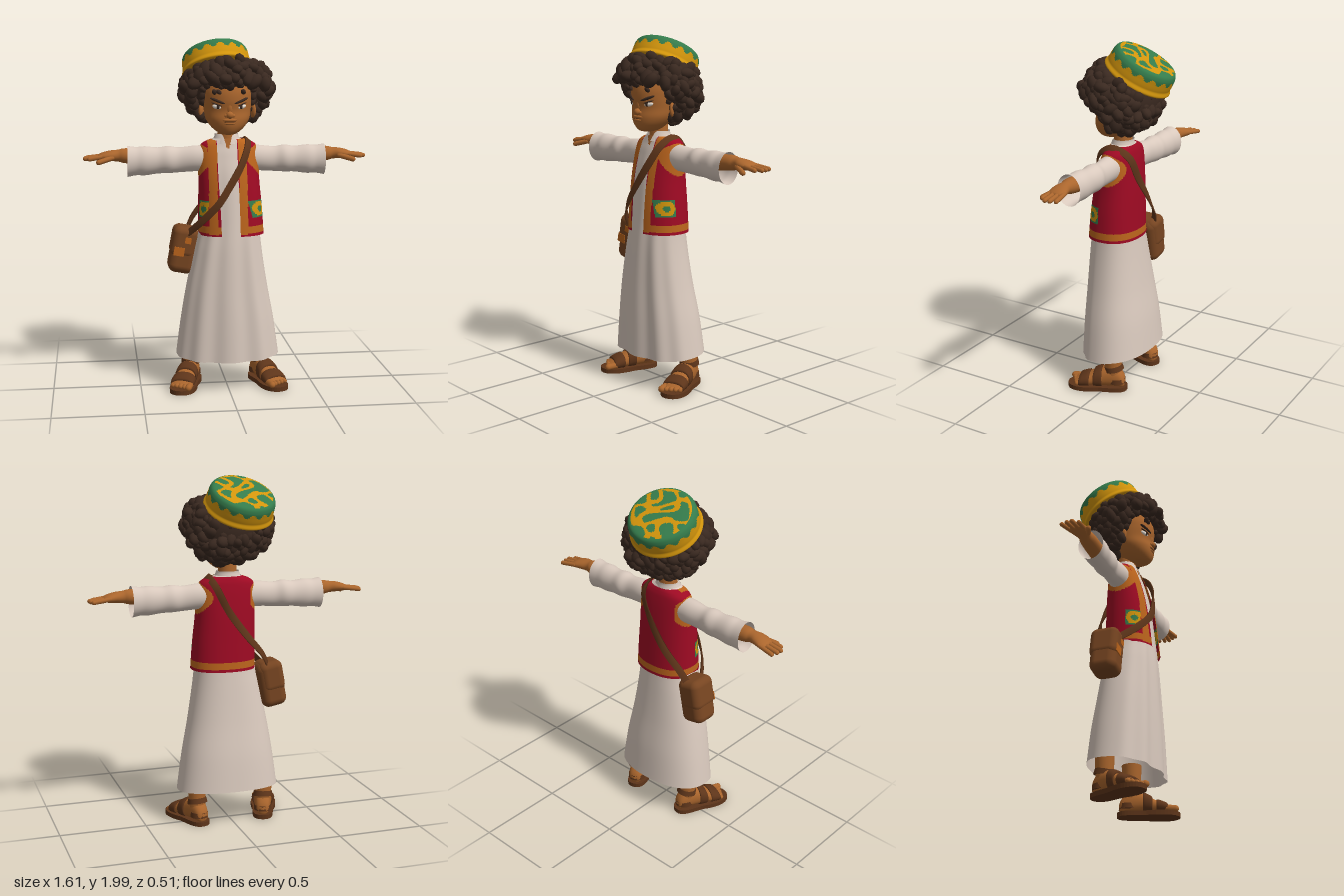
import * as THREE from 'three';
import { mergeGeometries } from 'three/addons/utils/BufferGeometryUtils.js';
import { RoundedBoxGeometry } from 'three/addons/geometries/RoundedBoxGeometry.js';

const mat = (name, color, side = THREE.FrontSide) => {
  const m = new THREE.MeshStandardMaterial({ color, side });
  m.name = name;
  return m;
};
const V = (x, y, z) => new THREE.Vector3(x, y, z);
const TAU = Math.PI * 2;

// Grid surface from f(u, v); pick(centre) gives the material index of each cell
function surf(nu, nv, f, { closed = true, pick } = {}) {
  const pts = [], cols = closed ? nu : nu + 1, cells = [[], [], [], []];
  for (let j = 0; j <= nv; j++) for (let i = 0; i < cols; i++) pts.push(f(i / nu, j / nv));
  for (let j = 0; j < nv; j++) for (let i = 0; i < nu; i++) {
    const k = (i + 1) % cols, a = j * cols + i, b = j * cols + k, c = b + cols, d = a + cols;
    const mid = pts[a].clone().add(pts[c]).multiplyScalar(0.5);
    cells[pick ? pick(mid) : 0].push(a, b, c, a, c, d);
  }
  const g = new THREE.BufferGeometry().setFromPoints(pts);
  g.setIndex(cells.flat());
  if (pick) {
    let start = 0;
    cells.forEach((c, i) => { if (c.length) g.addGroup(start, c.length, i); start += c.length; });
  }
  g.computeVertexNormals();
  return g;
}

// Smooth body through cross-sections [y, centreX, radiusX, zFront, zBack]
function loft(secs, p = 1) {
  const n = secs.length - 1, at = i => secs[Math.max(0, Math.min(n, i))];
  return (u, v) => {
    const s = Math.min(v * n, n - 1e-6), i = Math.floor(s), t = s - i;
    const [y, cx, rx, zf, zb] = at(i).map((b, k) => {
      const a = at(i - 1)[k], c = at(i + 1)[k], d = at(i + 2)[k];
      return 0.5 * (2 * b + (c - a) * t + (2 * a - 5 * b + 4 * c - d) * t * t + (3 * b - a - 3 * c + d) * t * t * t);
    });
    const th = u * TAU, pw = q => Math.sign(q) * Math.abs(q) ** p;
    return V(cx + Math.max(0, rx) * pw(Math.sin(th)), y, (zf + zb) / 2 + (zf - zb) / 2 * pw(Math.cos(th)));
  };
}

export function createModel() {
  const robe = mat('robe cloth', 0xd9c9bd, THREE.DoubleSide), skin = mat('skin', 0xab662d);
  const hairM = mat('hair', 0x3a2920), red = mat('vest red', 0x9e0a23, THREE.DoubleSide);
  const trim = mat('orange trim', 0xbb641c, THREE.DoubleSide), yellow = mat('yellow', 0xd3950c, THREE.DoubleSide);
  const green = mat('green', 0x357c4c, THREE.DoubleSide), leather = mat('leather', 0x774521);
  const dark = mat('dark leather', 0x5e351a), white = mat('eye white', 0xe6ddd2);
  const model = new THREE.Group();
  const add = (parent, name, geo, m, pos = [0, 0, 0], rot = [0, 0, 0], scl = [1, 1, 1]) => {
    const mesh = new THREE.Mesh(geo, m);
    mesh.name = name;
    mesh.position.set(...pos); mesh.rotation.set(...rot); mesh.scale.set(...scl);
    parent.add(mesh);
    return mesh;
  };
  const ball = new THREE.SphereGeometry(1, 20, 14);
  const limb = (parent, name, m, a, b, r) => {
    const d = b.clone().sub(a), mesh = add(parent, name, new THREE.CapsuleGeometry(r, d.length(), 5, 10), m);
    mesh.position.copy(a).addScaledVector(d, 0.5);
    mesh.quaternion.setFromUnitVectors(V(0, 1, 0), d.normalize());
  };

  // Robe with front folds and a neck slit
  const robeAt = loft([
    [0.195, 0.005, 0.297, 0.212, -0.185], [0.4, 0.003, 0.268, 0.207, -0.165], [0.6, 0, 0.232, 0.198, -0.135],
    [0.8, 0.005, 0.195, 0.186, -0.11], [0.95, 0.012, 0.172, 0.17, -0.095], [1.2, 0.01, 0.157, 0.14, -0.082],
    [1.34, 0.01, 0.152, 0.105, -0.07], [1.4, 0.008, 0.135, 0.085, -0.06], [1.44, 0, 0.075, 0.075, -0.045]], 0.88);
  add(model, 'robe', surf(120, 80, (u, v) => {
    const p = robeAt(u, v), c = Math.cos(u * TAU), low = 1 - v;
    const k = 1 - 0.05 * low * Math.max(0, c) * (1 - Math.cos(10 * u * TAU));
    p.x *= 1 + (k - 1) * 0.5;
    p.z = 0.02 + (p.z - 0.02) * k;
    p.y -= 0.018 * c * low ** 5;
    return p;
  }, { pick: p => (p.z > 0.03 && Math.abs(p.x) < (p.y - 1.38) * 0.5 ? 1 : 0) }), [robe, skin]);
  // Collar, open at the front
  const collarAt = loft([[1.41, 0, 0.083, 0.09, -0.055], [1.45, 0, 0.069, 0.075, -0.045], [1.465, 0, 0.066, 0.068, -0.045]]);
  add(model, 'collar', surf(40, 6, (u, v) => {
    const open = 0.02 + 0.07 * v;
    return collarAt(open + (1 - 2 * open) * u, v);
  }, { closed: false }), robe);

  // Vest: trim along hem, opening and armholes, medallions at the hips
  const vestSecs = [
    [0.9, 0.022, 0.187, 0.187, -0.108], [1.05, 0.018, 0.181, 0.174, -0.102], [1.2, 0.012, 0.173, 0.153, -0.095],
    [1.32, 0.01, 0.171, 0.122, -0.084], [1.39, 0.01, 0.163, 0.096, -0.073], [1.42, 0.01, 0.133, 0.083, -0.064],
    [1.437, 0.01, 0.085, 0.07, -0.055]];
  const vestAt = loft(vestSecs, 0.88);
  add(model, 'vest', surf(180, 110, (u, v) => {
    const rx = vestAt(0.25, v).x - 0.014, edge = x => Math.asin(Math.min(0.9, (x / rx) ** 1.136)) / TAU;
    const a = edge(0.04), b = edge(0.07);
    return vestAt(a + (1 - a - b) * u, v);
  }, {
    closed: false,
    pick: p => {
      const ax = Math.abs(p.x + 0.004), dy = Math.abs(p.y - 1.05), dz = p.z - 0.11, d = Math.hypot(dy, dz);
      if (p.z > 0 && ax > 0.11 && dy < 0.048 && Math.abs(dz) < 0.047) return d < 0.018 || d > 0.043 ? 3 : 2;
      if (p.y < 0.912) return 0;
      if (p.y < 0.955 && p.y > 0.918) return 1;
      if (p.z > 0 && ax < 0.108 && p.y < 1.44) return ax > 0.06 ? 1 : 0;
      return ax > 0.11 && Math.hypot(p.y - 1.315, p.z - 0.02) < 0.09 ? 1 : 0;
    }
  }), [red, trim, yellow, green]);

  // Arms and legs, built on the left and mirrored
  for (const s of [1, -1]) {
    const side = new THREE.Group();
    side.name = s > 0 ? 'leftLimbs' : 'rightLimbs';
    side.scale.x = s;
    model.add(side);
    const along = (secs, nu, nv) => surf(nu, nv, loft(secs)).rotateZ(-Math.PI / 2);
    add(side, 'sleeve', along([
      [0.1, -1.325, 0.075, 0.075, -0.05], [0.18, -1.325, 0.073, 0.075, -0.05], [0.27, -1.318, 0.071, 0.064, -0.043],
      [0.33, -1.32, 0.077, 0.077, -0.058], [0.39, -1.316, 0.074, 0.071, -0.052], [0.46, -1.315, 0.082, 0.08, -0.056],
      [0.51, -1.314, 0.08, 0.078, -0.054], [0.56, -1.313, 0.088, 0.086, -0.058]], 32, 42), robe);
    add(side, 'forearmAndPalm', along([
      [0.4, -1.33, 0.045, 0.05, -0.045], [0.56, -1.343, 0.043, 0.046, -0.045], [0.61, -1.345, 0.034, 0.036, -0.035],
      [0.65, -1.345, 0.03, 0.046, -0.046], [0.69, -1.342, 0.024, 0.045, -0.056], [0.72, -1.34, 0.012, 0.03, -0.045],
      [0.725, -1.34, 0, 0, 0]], 24, 30), skin);
    [[-0.046, -0.058, 0.782], [-0.02, -0.025, 0.792], [0.006, 0.004, 0.794], [0.03, 0.034, 0.77]].forEach(([z0, z1, x]) =>
      limb(side, 'finger', skin, V(0.69, 1.342, z0), V(x, 1.33, z1), 0.0125));
    limb(side, 'thumb', skin, V(0.645, 1.335, 0.035), V(0.72, 1.315, 0.068), 0.0145);

    // Leg, foot and sandal
    const foot = new THREE.Group();
    foot.name = 'foot';
    foot.position.set(0.217, 0, 0);
    foot.rotation.y = 0.36;
    side.add(foot);
    add(foot, 'leg', new THREE.CylinderGeometry(0.056, 0.047, 0.2, 20), skin, [0, 0.2, -0.04]);
    const footSecs = [[-0.112, 0, 0, -0.06, -0.06], [-0.1, 0, 0.033, -0.02, -0.1], [-0.06, 0, 0.046, -0.02, -0.145],
      [0, 0, 0.05, -0.02, -0.145], [0.06, 0, 0.054, -0.02, -0.115], [0.12, 0, 0.06, -0.02, -0.085], [0.18, 0, 0.055, -0.02, -0.056]];
    const foots = (secs, nv) => surf(24, nv, loft(secs, 0.9)).rotateX(Math.PI / 2);
    add(foot, 'footBody', foots(footSecs, 24), skin);
    for (let i = 0; i < 5; i++) {
      const x = (i - 2) * 0.024, r = i ? 0.0135 : 0.019;
      limb(foot, 'toe', skin, V(x, 0.044, 0.15), V(x * 1.05, 0.04, 0.2 - i * 0.008), r);
    }
    const sole = new THREE.Shape();
    sole.moveTo(0, -0.122);
    sole.bezierCurveTo(0.075, -0.122, 0.055, -0.02, 0.062, 0.04);
    sole.bezierCurveTo(0.092, 0.15, 0.066, 0.228, 0, 0.228);
    sole.bezierCurveTo(-0.066, 0.228, -0.092, 0.15, -0.062, 0.04);
    sole.bezierCurveTo(-0.055, -0.02, -0.075, -0.122, 0, -0.122);
    add(foot, 'sole', new THREE.ExtrudeGeometry(sole, { depth: 0.026, bevelEnabled: false, curveSegments: 12 })
      .rotateX(Math.PI / 2).translate(0, 0.027, 0), dark);
    const band = (z0, z1, r0, r1, t0, t1) => add(foot, 'sandalStrap', foots([
      [z0, 0, r0 - 0.01, -0.02, -t0 + 0.02], [z0, 0, r0, -0.015, -t0], [z1, 0, r1, -0.015, -t1], [z1, 0, r1 - 0.01, -0.02, -t1 + 0.02]], 9), dark);
    band(0.1, 0.155, 0.068, 0.067, 0.102, 0.08);
    band(0.025, 0.07, 0.061, 0.064, 0.143, 0.121);
    add(foot, 'ankleStrap', new THREE.CylinderGeometry(0.053, 0.058, 0.03, 20), dark, [0, 0.138, -0.042], [0.2, 0, 0]);
    add(foot, 'heelStrap', new THREE.CylinderGeometry(0.05, 0.052, 0.03, 20), dark, [0, 0.06, -0.06]);
  }

  // Head
  const head = new THREE.Group();
  head.name = 'head';
  model.add(head);
  add(head, 'neck', new THREE.CylinderGeometry(0.05, 0.055, 0.16, 20), skin, [0, 1.45, 0.015]);
  add(head, 'face', surf(40, 48, loft([
    [1.463, 0, 0, 0.1, 0.1], [1.472, 0, 0.045, 0.148, 0.03], [1.505, 0, 0.09, 0.17, -0.02], [1.55, 0, 0.121, 0.176, -0.06],
    [1.6, 0, 0.132, 0.17, -0.09], [1.66, 0, 0.139, 0.178, -0.12], [1.72, 0, 0.14, 0.172, -0.13], [1.8, 0, 0.12, 0.14, -0.13],
    [1.86, 0, 0.06, 0.07, -0.08], [1.87, 0, 0, 0, 0]])), skin);
  add(head, 'nose', ball, skin, [0, 1.578, 0.172], [0.3, 0, 0], [0.021, 0.02, 0.02]);
  add(head, 'noseBridge', ball, skin, [0, 1.61, 0.16], [0.1, 0, 0], [0.018, 0.04, 0.015]);
  add(head, 'upperLip', ball, skin, [0, 1.55, 0.164], [0, 0, 0], [0.042, 0.012, 0.018]);
  add(head, 'lowerLip', ball, skin, [0, 1.532, 0.163], [0, 0, 0], [0.035, 0.011, 0.017]);
  add(head, 'mouth', ball, dark, [0, 1.541, 0.168], [0, 0, 0], [0.036, 0.003, 0.01]);
  for (const s of [1, -1]) {
    add(head, 'nostril', ball, skin, [s * 0.019, 1.574, 0.166], [0, 0, 0], [0.012, 0.011, 0.013]);
    add(head, 'eye', ball, white, [s * 0.068, 1.623, 0.148], [0, s * 0.42, s * 0.2], [0.028, 0.013, 0.012]);
    add(head, 'iris', ball, hairM, [s * 0.064, 1.623, 0.157], [0, s * 0.4, 0], [0.011, 0.012, 0.006]);
    add(head, 'upperLid', ball, hairM, [s * 0.068, 1.636, 0.151], [0, s * 0.42, s * 0.28], [0.033, 0.004, 0.011]);
    add(head, 'eyebrow', ball, hairM, [s * 0.066, 1.656, 0.156], [0, s * 0.42, s * 0.34], [0.046, 0.008, 0.012]);
    add(head, 'ear', ball, skin, [s * 0.144, 1.595, 0.042], [0, s * 0.5, 0], [0.014, 0.042, 0.028]);
  }

  // Curly hair: lumps on an egg shape, leaving the face and the cap free
  let seed = 7;
  const rnd = () => (seed = (seed * 16807) % 2147483647) / 2147483647;
  const curls = [], lump = new THREE.SphereGeometry(1, 10, 8);
  const curl = (p, r) => {
    const q = new THREE.Quaternion().setFromEuler(new THREE.Euler(rnd() * 3, rnd() * 3, rnd() * 3));
    curls.push(lump.clone().applyMatrix4(new THREE.Matrix4().compose(p, q, V(r * 1.35, r * 0.85, r))));
  };
  const capPos = V(-0.043, 1.802, -0.045), capRot = new THREE.Euler(-0.5, 0, 0.12, 'ZXY');
  const capUp = V(0, 1, 0).applyEuler(capRot);
  for (let i = 0; i < 360; i++) {
    const h = 1 - 2 * (i + 0.5) / 360, a = i * 2.39996, w = Math.sqrt(1 - h * h), k = 0.91 + rnd() * 0.15;
    const p = V(0.234 * w * Math.sin(a) * k, 1.715 + 0.187 * h * k, 0.018 + 0.2 * w * Math.cos(a) * k);
    if (p.y < 1.65) p.z -= 0.02;
    const rel = p.clone().sub(capPos), up = rel.dot(capUp);
    if (up > -0.02 && rel.addScaledVector(capUp, -up).length() < 0.21) continue;
    if ((p.y < 1.75 && p.z > 0.1) || (p.y < 1.66 && p.z > 0.035) || p.y < 1.545 && p.z > -0.02) continue;
    curl(p, 0.025 + rnd() * 0.014);
  }
  for (let i = -6; i <= 6; i++) curl(V(i * 0.024, 1.735 + rnd() * 0.035, 0.188 - 0.0028 * i * i), 0.021 + rnd() * 0.007);
  for (const x of [-0.085, -0.06, 0.075]) curl(V(x, 1.705, 0.165), 0.014);
  for (const s of [1, -1]) for (let i = 0; i < 3; i++) curl(V(s * 0.142, 1.645 + i * 0.035, 0.06 + i * 0.015), 0.02);
  add(head, 'curls', mergeGeometries(curls), hairM);
  add(head, 'hairBase', ball, hairM, [0, 1.71, -0.035], [0, 0, 0], [0.205, 0.175, 0.165]);

  // Tilted cap with a zigzag band and a swirled crown
  const capSecs = [[0, 0], [0, 0.186], [0.035, 0.192], [0.07, 0.191], [0.102, 0.187], [0.125, 0.17], [0.133, 0.125], [0.136, 0.06], [0.137, 0]];
  const cap = add(head, 'cap', surf(144, 80, loft(capSecs.map(([h, r]) => [h, 0, r, r, -r])), {
    pick: p => {
      const a = Math.atan2(p.x, p.z), r = Math.hypot(p.x, p.z);
      if (p.y < 0.115 && r > 0.17 || p.y < 0.03) return p.y < 0.082 + 0.012 * Math.sin(a * 16) ? 0 : 1;
      const f = Math.sin(26 * p.x + 1.8 * Math.sin(24 * p.z)) * Math.cos(24 * p.z + 1.5 * Math.sin(21 * p.x));
      return r < 0.168 && Math.abs(f - 0.22) < 0.36 ? 0 : 1;
    }
  }), [yellow, green]);
  cap.position.copy(capPos);
  cap.rotation.copy(capRot);

  // Shoulder strap, a flat band following the body
  const path = new THREE.CatmullRomCurve3([
    V(-0.225, 0.9, 0.05), V(-0.15, 0.985, 0.135), V(-0.065, 1.08, 0.178), V(0, 1.18, 0.172), V(0.07, 1.3, 0.145),
    V(0.108, 1.39, 0.1), V(0.118, 1.432, 0.02), V(0.1, 1.39, -0.078), V(0.03, 1.25, -0.102), V(-0.08, 1.1, -0.107),
    V(-0.18, 0.985, -0.085), V(-0.225, 0.9, -0.06)]);
  add(model, 'strap', surf(4, 60, (u, v) => {
    const p = path.getPoint(v), t = path.getTangent(v);
    const n = p.clone().sub(V(0.01, Math.min(p.y, 1.3), 0.03)).normalize();
    const s = t.clone().cross(n).normalize(), k = Math.round(u * 4);
    return p.addScaledVector(s, k === 1 || k === 2 ? 0.02 : -0.02).addScaledVector(n, k < 2 ? 0.006 : -0.004);
  }), dark);

  // Side bag with flap and patches
  const bag = new THREE.Group();
  bag.name = 'bag';
  bag.position.set(-0.245, 0.805, -0.014);
  bag.rotation.z = -0.19;
  model.add(bag);
  add(bag, 'bagBody', new RoundedBoxGeometry(0.15, 0.265, 0.155, 4, 0.045), leather, [0, -0.005, 0]);
  add(bag, 'bagFlap', new RoundedBoxGeometry(0.142, 0.18, 0.165, 4, 0.04), leather, [-0.008, 0.042, 0]);
  add(bag, 'frontPatch', new THREE.BoxGeometry(0.06, 0.05, 0.005), trim, [-0.03, -0.01, 0.083]);
  add(bag, 'cornerPatch', new THREE.BoxGeometry(0.035, 0.035, 0.005), trim, [0.01, 0.06, 0.083]);
  return model;
}
